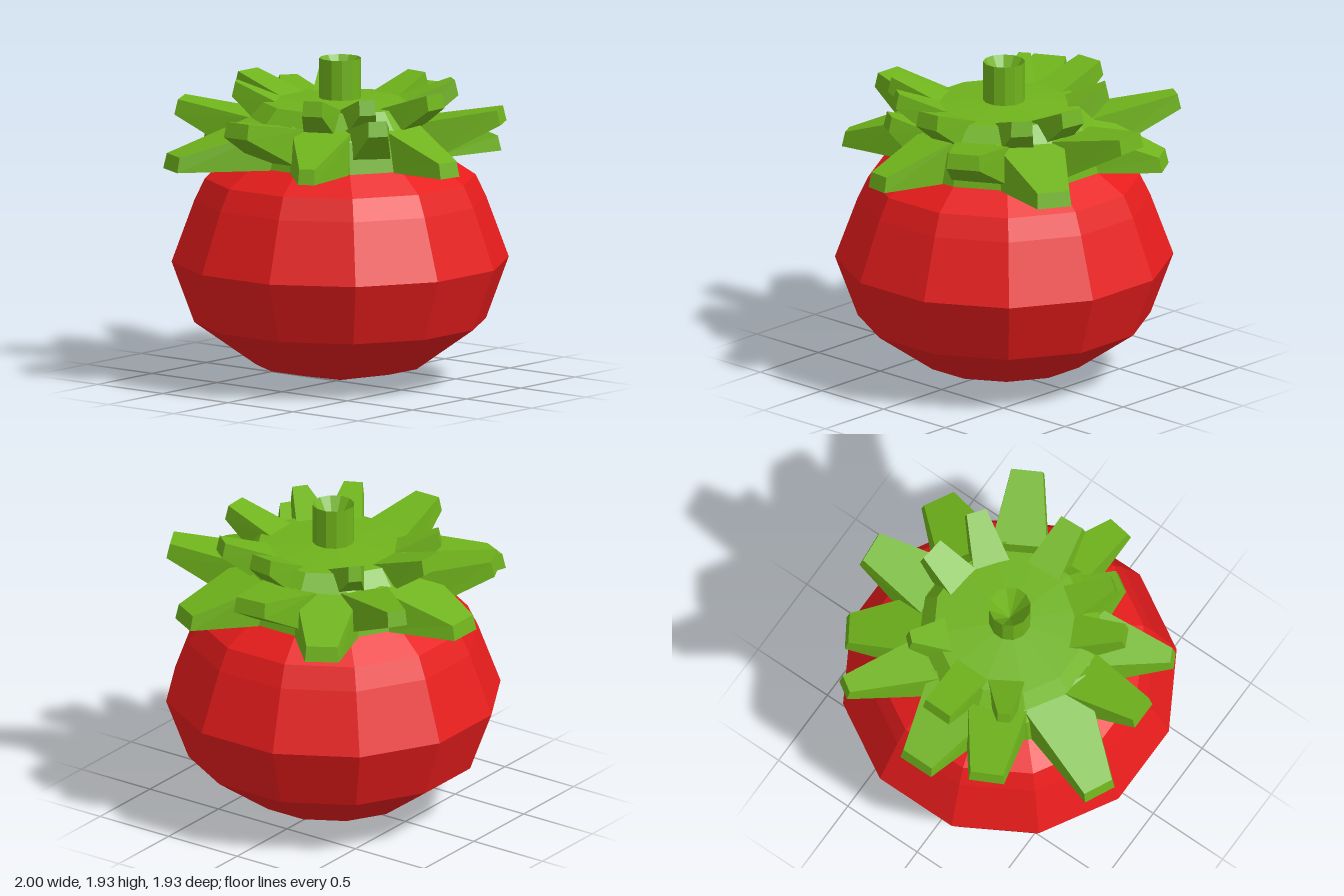
import * as THREE from 'three';

const red = new THREE.MeshStandardMaterial({ color: 0xe81c1c, flatShading: true });
red.name = 'tomatoRed';
const green = new THREE.MeshStandardMaterial({ color: 0x6fb31c, flatShading: true });
green.name = 'leafGreen';

// Faceted solid of revolution; profile radii are measured to the flats
function turned(name, profile, sides, material) {
  const k = 1 / Math.cos(Math.PI / sides);
  const points = profile.map(([r, y]) => new THREE.Vector2(r * k, y));
  const mesh = new THREE.Mesh(new THREE.LatheGeometry(points, sides, Math.PI / sides), material);
  mesh.name = name;
  return mesh;
}

// Tapered leaf along +z: each end is [distance, width, bottom, top, sideways shift]
function leaf(name, degrees, root, tip) {
  const geo = new THREE.BoxGeometry(1, 1, 1);
  const p = geo.attributes.position;
  for (let i = 0; i < p.count; i++) {
    const [r, w, bottom, top, shift] = p.getZ(i) > 0 ? tip : root;
    const isTop = p.getY(i) > 0;
    const splay = isTop ? 0.93 : 1;
    p.setXYZ(i, p.getX(i) * w * splay + shift, isTop ? top : bottom, isTop ? r - 0.02 : r);
  }
  geo.computeVertexNormals();
  const mesh = new THREE.Mesh(geo, green);
  mesh.name = name;
  mesh.rotation.y = THREE.MathUtils.degToRad(degrees);
  return mesh;
}

export function createModel() {
  const model = new THREE.Group();
  model.name = 'tomato';
  const plant = new THREE.Group();
  plant.name = 'fruitAndCalyx';
  plant.position.x = 0.035;
  model.add(plant);

  // Fruit
  plant.add(turned('fruit', [
    [0, 0], [0.48, 0.1], [0.835, 0.36], [0.965, 0.725],
    [0.835, 1.09], [0.775, 1.22], [0.6, 1.34], [0, 1.4],
  ], 12, red));

  // Calyx hub and hollow-topped stem
  plant.add(turned('calyxHub', [
    [0, 1.33], [0.61, 1.33], [0.57, 1.52], [0.44, 1.67], [0, 1.7],
  ], 12, green));
  plant.add(turned('stem', [[0.12, 1.62], [0.12, 1.93], [0, 1.74]], 12, green));

  // Long leaves: drooping and level ones alternate; [angle, reach, tip width, root width, root shift]
  const drooping = [[-8, 0.965, 0.15, 0.32, 0.02], [61, 0.98, 0.21, 0.46, 0], [122, 0.97, 0.2, 0.42, 0],
    [180, 0.965, 0.22, 0.5, 0], [244, 1.1, 0.2, 0.46, 0.03], [298, 0.98, 0.1, 0.42, 0]];
  for (const [a, r, w, rootW, shift] of drooping) {
    plant.add(leaf('droopingLeaf', a, [0.5, rootW, 1.33, 1.59, shift], [r, w, 1.33, 1.42, 0]));
  }
  const level = [[29, 0.98, 0.2, 0.36, 0], [95, 0.965, 0.21, 0.4, 0], [147, 1.06, 0.12, 0.32, 0],
    [207, 0.98, 0.21, 0.38, 0], [270, 0.965, 0.18, 0.34, 0], [328, 0.72, 0.12, 0.3, 0]];
  for (const [a, r, w, rootW, shift] of level) {
    plant.add(leaf('levelLeaf', a, [0.52, rootW, 1.33, 1.58, shift], [r, w, 1.57, 1.66, 0]));
  }

  // Short raised leaves of the upper ring; [angle, reach, tip width]
  const raised = [[3, 0.71, 0.16], [52, 0.7, 0.13], [83, 0.64, 0.16], [138, 0.62, 0.08],
    [179, 0.74, 0.19], [212, 0.64, 0.08], [296, 0.7, 0.12], [324, 0.66, 0.1]];
  for (const [a, r, w] of raised) {
    plant.add(leaf('raisedLeaf', a, [0.38, 0.24, 1.45, 1.67, 0], [r, w, 1.69, 1.78, 0]));
  }
  return model;
}
